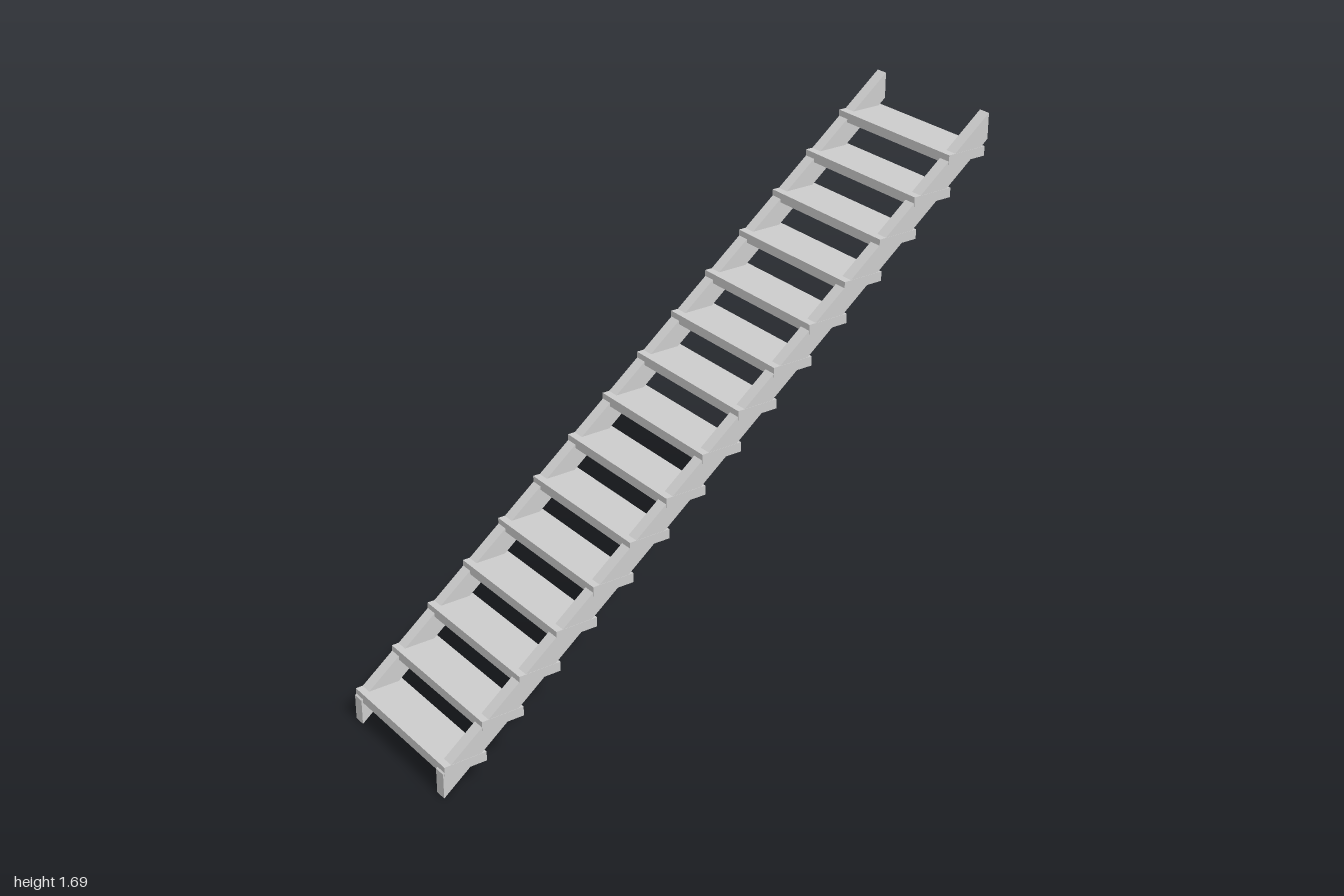
import * as THREE from 'three';

const STEPS = 15;
const HALF_WIDTH = 0.26;
const STRINGER = 0.04; // stringer thickness

export function createModel() {
  const group = new THREE.Group();
  group.name = 'openStair';
  const material = new THREE.MeshStandardMaterial({ color: 0xcccccc, flatShading: true });

  // Sloping side boards with plumb-cut ends, profile drawn as (-z, y)
  const profile = new THREE.Shape([
    new THREE.Vector2(-1, 0),
    new THREE.Vector2(1, 1.603),
    new THREE.Vector2(1, 1.686),
    new THREE.Vector2(-1, 0.083),
  ]);
  const stringerGeometry = new THREE.ExtrudeGeometry(profile, { depth: STRINGER, bevelEnabled: false });
  stringerGeometry.translate(0, 0, -STRINGER / 2).rotateY(Math.PI / 2);
  for (const side of [1, -1]) {
    const stringer = new THREE.Mesh(stringerGeometry, material);
    stringer.name = side > 0 ? 'leftStringer' : 'rightStringer';
    stringer.position.x = side * (HALF_WIDTH - STRINGER / 2);
    group.add(stringer);
  }

  // Full-width treads set through the stringers
  const depth = 0.143;
  const treadGeometry = new THREE.BoxGeometry(HALF_WIDTH * 2 + 0.002, 0.031, depth);
  for (let i = 0; i < STEPS; i++) {
    const tread = new THREE.Mesh(treadGeometry, material);
    tread.name = `tread${i + 1}`;
    tread.position.set(0, 0.09 + i * 0.1055, 0.995 - depth / 2 - i * 0.1315);
    group.add(tread);
  }
  return group;
}
